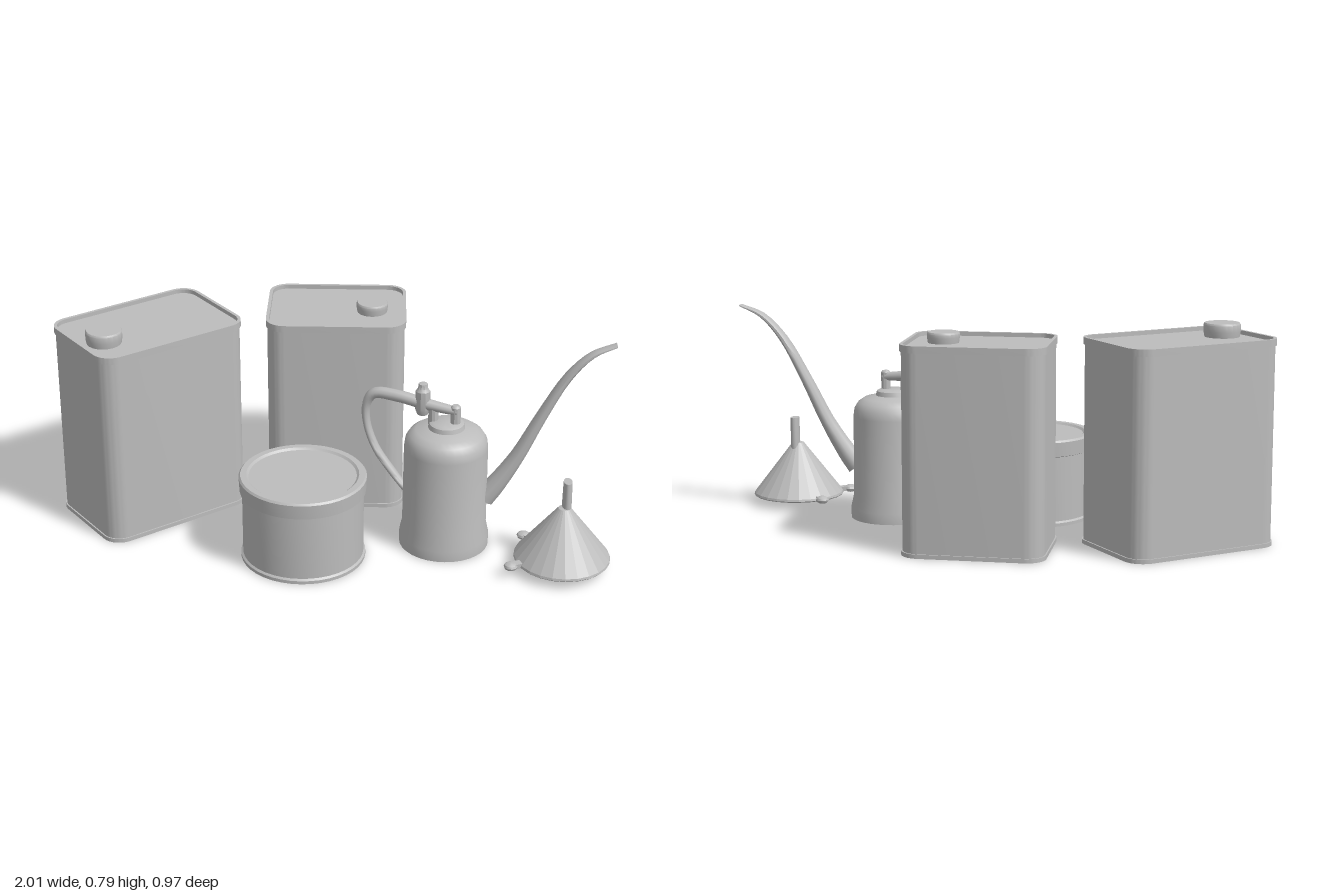
import * as THREE from 'three';
import { toCreasedNormals } from 'three/addons/utils/BufferGeometryUtils.js';

const metal = new THREE.MeshStandardMaterial({ color: 0xbcbcbc });
metal.name = 'grey metal';
const V = (x, y, z) => new THREE.Vector3(x, y, z);

function add(parent, name, geometry, x = 0, y = 0, z = 0, crease = 0.6) {
  const mesh = new THREE.Mesh(toCreasedNormals(geometry, crease), metal);
  mesh.name = name;
  mesh.position.set(x, y, z);
  parent.add(mesh);
  return mesh;
}

function group(parent, name, x, z, turn = 0) {
  const g = new THREE.Group();
  g.name = name;
  g.position.set(x, 0, z);
  g.rotation.y = turn;
  parent.add(g);
  return g;
}

// Solid of revolution from [radius, height] pairs, listed bottom to top
const lathe = (pts, sides = 32) =>
  new THREE.LatheGeometry(pts.map(([r, y]) => new THREE.Vector2(r, y)), sides);

function roundedRect(w, d, r, Type = THREE.Shape) {
  const s = new Type(), a = w / 2 - r, b = d / 2 - r;
  s.absarc(a, b, r, 0, Math.PI / 2);
  s.absarc(-a, b, r, Math.PI / 2, Math.PI);
  s.absarc(-a, -b, r, Math.PI, Math.PI * 1.5);
  s.absarc(a, -b, r, Math.PI * 1.5, Math.PI * 2);
  s.closePath();
  return s;
}

const upright = (shape, height) =>
  new THREE.ExtrudeGeometry(shape, { depth: height, bevelEnabled: false, curveSegments: 7 })
    .rotateX(-Math.PI / 2);

// Tapered oval tube; each station is [point, half thickness, half width along the side axis]
function taperTube(stations, side, rings = 24, sides = 10) {
  const curve = new THREE.CatmullRomCurve3(stations.map((s) => s[0]));
  const pos = [], index = [];
  for (let i = 0; i <= rings; i++) {
    const t = i / rings, f = t * (stations.length - 1);
    const k = Math.min(Math.floor(f), stations.length - 2);
    const mix = (j) => THREE.MathUtils.lerp(stations[k][j], stations[k + 1][j], f - k);
    const p = curve.getPoint(t);
    const n = new THREE.Vector3().crossVectors(side, curve.getTangent(t)).normalize();
    for (let j = 0; j < sides; j++) {
      const a = (j / sides) * Math.PI * 2;
      const q = p.clone().addScaledVector(n, Math.cos(a) * mix(1)).addScaledVector(side, Math.sin(a) * mix(2));
      pos.push(q.x, q.y, q.z);
      if (i < rings) {
        const c = i * sides + j, d = i * sides + ((j + 1) % sides);
        index.push(c, c + sides, d, d, c + sides, d + sides);
      }
    }
  }
  // End caps
  const last = rings * sides;
  for (let j = 1; j < sides - 1; j++) index.push(0, j, j + 1, last, last + j + 1, last + j);
  // Keep the winding outward whichever way the side axis points
  const geo = new THREE.BufferGeometry();
  const vol = (() => {
    let v = 0;
    const P = (i) => V(pos[3 * i], pos[3 * i + 1], pos[3 * i + 2]);
    for (let i = 0; i < index.length; i += 3) v += P(index[i]).dot(P(index[i + 1]).cross(P(index[i + 2])));
    return v;
  })();
  geo.setAttribute('position', new THREE.Float32BufferAttribute(pos, 3));
  geo.setIndex(vol < 0 ? index.reverse() : index);
  return geo;
}

// Rectangular can with a raised rim, a base seam and a screw cap
function fuelCan(parent, name, x, z, turn, w, d, r, capX, capZ, capR, capTop) {
  const g = group(parent, name, x, z, turn);
  add(g, 'canBody', upright(roundedRect(w - 0.01, d - 0.01, r - 0.005), 0.725));
  const rim = roundedRect(w, d, r);
  rim.holes.push(roundedRect(w - 0.024, d - 0.024, r - 0.012, THREE.Path));
  add(g, 'topRim', upright(rim, 0.025), 0, 0.715, 0);
  add(g, 'baseSeam', upright(roundedRect(w, d, r), 0.015));
  add(g, 'cap', lathe([[capR * 0.92, 0.715], [capR, 0.745], [capR, capTop - 0.006], [capR * 0.94, capTop], [0, capTop]], 20), capX, 0, capZ);
}

export function createModel() {
  const model = new THREE.Group();
  model.name = 'garageContainers';

  fuelCan(model, 'leftFuelCan', -0.675, -0.11, 0.65, 0.6, 0.41, 0.07, -0.2, 0.035, 0.066, 0.775);
  fuelCan(model, 'backFuelCan', 0.005, -0.285, 0, 0.51, 0.395, 0.07, 0.13, 0.015, 0.058, 0.763);

  // Round tub with an overhanging lid
  const tub = group(model, 'roundTub', -0.1, 0.25);
  add(tub, 'tubBody', lathe([[0, 0], [0.224, 0], [0.224, 0.012], [0.217, 0.018], [0.217, 0.275]], 40));
  add(tub, 'tubLid', lathe([[0.215, 0.258], [0.225, 0.262], [0.228, 0.315], [0.222, 0.322],
    [0.2, 0.322], [0.192, 0.315], [0, 0.315]], 40));

  // Oil can: recessed bottom, flared foot, domed shoulder and neck
  const oil = group(model, 'oilCan', 0.407, 0.145);
  add(oil, 'oilCanBody', lathe([[0, 0.02], [0.145, 0.02], [0.15, 0], [0.162, 0], [0.162, 0.04], [0.152, 0.085],
    [0.15, 0.385], [0.146, 0.415], [0.132, 0.437], [0.11, 0.452], [0.066, 0.462], [0.062, 0.478],
    [0.05, 0.484], [0, 0.484]]));

  const across = V(0, 0, 1);
  add(oil, 'spout', taperTube([
    [V(0.142, 0.185, 0.005), 0.04, 0.042], [V(0.18, 0.235, 0.005), 0.036, 0.041],
    [V(0.253, 0.35, 0.005), 0.026, 0.037], [V(0.333, 0.51, 0.003), 0.02, 0.032],
    [V(0.42, 0.665, 0.001), 0.015, 0.027], [V(0.5, 0.75, 0), 0.01, 0.024],
    [V(0.583, 0.787, -0.002), 0.004, 0.021]], across), 0, 0, 0, 0.9);

  // Handle and thumb pump lie in a plane turned slightly toward the back
  const grip = group(oil, 'handleAssembly', 0, 0, -0.3);
  add(grip, 'handle', taperTube([
    [V(-0.145, 0.185, 0), 0.012, 0.018], [V(-0.2, 0.25, 0), 0.013, 0.02],
    [V(-0.262, 0.335, 0), 0.013, 0.02], [V(-0.297, 0.43, 0), 0.013, 0.02],
    [V(-0.298, 0.51, 0), 0.016, 0.021], [V(-0.27, 0.553, 0), 0.02, 0.022],
    [V(-0.19, 0.556, 0), 0.022, 0.022], [V(-0.08, 0.54, 0), 0.021, 0.022],
    [V(0.04, 0.528, 0), 0.015, 0.018]], across, 36), 0, 0, 0, 0.9);
  add(grip, 'pumpPlunger', lathe([[0.02, 0.5], [0.027, 0.52], [0.026, 0.59], [0.018, 0.6], [0.016, 0.618], [0, 0.622]], 10), -0.09, 0, 0);
  for (const x of [-0.05, 0.032])
    add(grip, 'pumpPost', lathe([[0.018, 0.465], [0.018, 0.545], [0.012, 0.552], [0, 0.552]], 10), x, 0, 0);

  // Upturned funnel with a flattened stem and two rim tabs
  const funnel = group(model, 'funnel', 0.824, 0.314);
  add(funnel, 'funnelCone', lathe([[0, 0.032], [0.168, 0.032], [0.172, 0.036], [0.17, 0.044], [0.022, 0.235], [0, 0.24]], 24), 0, 0, 0, 0.2);
  const stem = add(funnel, 'funnelStem', lathe([[0.022, 0.2], [0.024, 0.24], [0.022, 0.335], [0, 0.335]], 12), 0.008, 0, -0.01);
  stem.scale.set(0.72, 1, 1.2);
  for (const [name, angle, reach] of [['hangingTab', 0.42, 0.215], ['rimTab', -0.82, 0.2]]) {
    const arm = group(funnel, name, 0, 0, angle);
    add(arm, 'tabArm', new THREE.BoxGeometry(0.05, 0.018, 0.028), -0.172, 0.042, 0);
    add(arm, 'tabEnd', new THREE.SphereGeometry(0.025, 10, 6).scale(1, 0.6, 1), 0.012 - reach, 0.042, 0);
  }
  return model;
}
